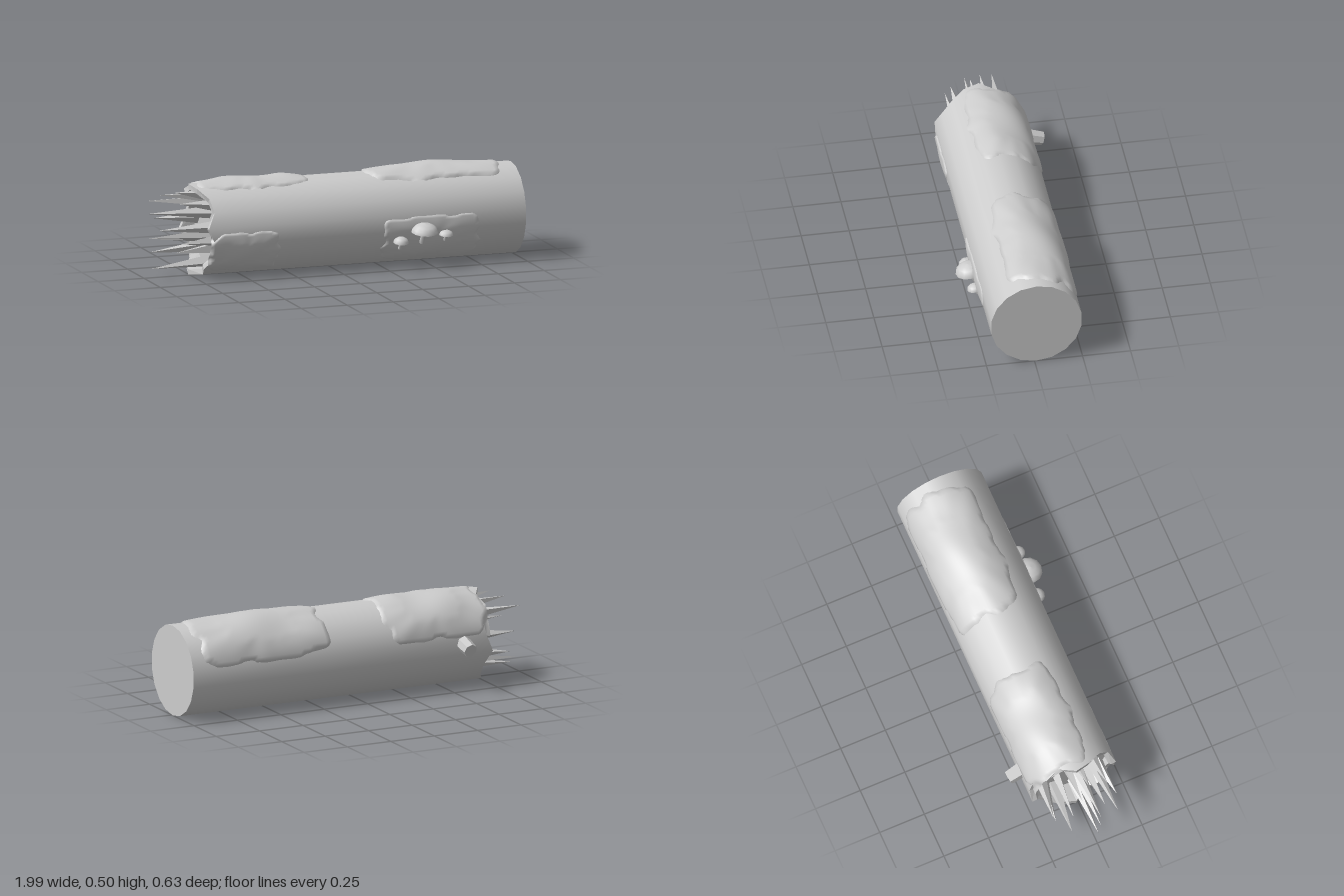
import * as THREE from 'three';
import { mergeVertices } from 'three/addons/utils/BufferGeometryUtils.js';

const R = 0.238, CY = 0.238, CZ = -0.01, SIDES = 18;

// Point on the log: x along it, angle p from the top towards the front, radius r
const onLog = (x, p, r) => [x, CY + r * Math.cos(p), CZ + r * Math.sin(p)];

// Surface from a grid of points fn(i, j)
function grid(nu, nv, fn, flat = false) {
  const pos = [], idx = [];
  for (let i = 0; i <= nu; i++) for (let j = 0; j <= nv; j++) pos.push(...fn(i, j));
  for (let i = 0; i < nu; i++) for (let j = 0; j < nv; j++) {
    const a = i * (nv + 1) + j, b = a + nv + 1;
    idx.push(a, a + 1, b, a + 1, b + 1, b);
  }
  let g = new THREE.BufferGeometry();
  g.setAttribute('position', new THREE.Float32BufferAttribute(pos, 3));
  g.setIndex(idx);
  g = mergeVertices(g, 1e-5);
  if (flat) g = g.toNonIndexed();
  g.computeVertexNormals();
  return g;
}

export function createModel() {
  const root = new THREE.Group();
  const grey = new THREE.MeshStandardMaterial({ color: 0xcccccc });
  grey.name = 'grey';
  const add = (geo, name, parent = root) => {
    const m = new THREE.Mesh(geo, grey);
    m.name = name;
    parent.add(m);
    return m;
  };

  // Ring sweep: each profile entry is [x, radius, follows the broken rim]
  const jag = [-0.04, -0.02, 0.02, 0.03, -0.01, 0.025, 0.035, -0.01, 0.01];
  const rings = (profile, flat) => grid(profile.length - 1, SIDES, (i, j) => {
    const [x, r, broken] = profile[i];
    return onLog(x + (broken ? jag[j % jag.length] : 0), (j % SIDES) / SIDES * Math.PI * 2, r);
  }, flat);
  add(rings([[-0.715, R, true], [-0.6, R], [0.2, R], [1, R]]), 'bark');
  add(rings([[1, R], [1, 0]], true), 'sawnEnd');
  add(rings([[-0.65, 0], [-0.65, 0.205], [-0.715, 0.21, true], [-0.715, R, true]], true), 'brokenEnd');

  // Splinters, by tip position
  const tips = [
    [-0.99, 0.34, 0.025], [-0.95, 0.38, -0.11], [-0.97, 0.27, 0.13], [-0.99, 0.21, 0.025],
    [-0.93, 0.11, -0.11], [-0.97, 0.05, 0.02], [-0.9, 0.42, -0.04], [-0.88, 0.27, -0.19],
    [-0.87, 0.14, 0.1], [-0.85, 0.4, 0.12], [-0.86, 0.16, -0.17], [-0.84, 0.44, 0.02],
    [-0.86, 0.2, 0.17],
  ];
  const splinters = new THREE.Group();
  splinters.name = 'splinters';
  root.add(splinters);
  const up = new THREE.Vector3(0, 1, 0);
  tips.forEach(([x, y, z], k) => {
    const tip = new THREE.Vector3(x, y, z);
    const base = new THREE.Vector3(-0.64, CY + (y - CY) * 0.87, CZ + (z - CZ) * 0.87);
    const dir = tip.clone().sub(base), len = dir.length();
    const g = new THREE.ConeGeometry(0.034, len, 4).toNonIndexed();
    g.rotateY(k * 0.9);
    g.computeVertexNormals();
    const m = add(g, 'splinter', splinters);
    m.quaternion.setFromUnitVectors(up, dir.normalize());
    m.position.copy(tip).add(base).multiplyScalar(0.5);
  });

  // Moss: lumpy sheets with wavy edges that sink into the bark
  function moss(name, x0, x1, p0, p1, thick, seed) {
    const nu = 40, nv = 28;
    add(grid(nu, nv, (i, j) => {
      const u = i / nu * 2 - 1, v = j / nv * 2 - 1;
      const a = Math.atan2(v, u);
      const edge = 0.95 + 0.035 * Math.sin(7 * a + seed) + 0.025 * Math.sin(13 * a + seed * 2);
      const d = edge - Math.pow(u ** 6 + v ** 6, 1 / 6);
      const lump = 0.75 + 0.15 * Math.sin(6 * u + seed) + 0.12 * Math.sin(5 * v + 4 * u + seed);
      const h = d > 0 ? thick * lump * (0.25 + 0.75 * Math.min(1, d / 0.45)) : Math.max(-0.02, d * 0.3);
      return onLog((x0 + x1) / 2 + u * (x1 - x0) / 2, (p0 + p1) / 2 + v * (p1 - p0) / 2, R + h);
    }), name);
  }
  moss('topMossRight', 0.19, 0.95, -1.4, 0.6, 0.031, 1.2);
  moss('topMossLeft', -0.72, -0.12, -1.4, 0.5, 0.024, 3.1);
  moss('frontMossRight', 0.22, 0.76, 1.4, 2.65, 0.012, 0.4);
  moss('frontMossLeft', -0.71, -0.33, 1.5, 2.6, 0.012, 2.2);

  // Branch stub on the back
  const stub = new THREE.CylinderGeometry(0.037, 0.044, 0.12, 7).toNonIndexed();
  stub.computeVertexNormals();
  const s = add(stub, 'branchStub');
  s.quaternion.setFromUnitVectors(up, new THREE.Vector3(-0.08, -0.32, -0.94).normalize());
  s.position.set(-0.56, 0.246, -0.25);

  // Mushrooms: [x, cap base y, z, cap radius, cap height]
  const list = [[0.44, 0.193, 0.245, 0.071, 0.045], [0.315, 0.143, 0.238, 0.04, 0.03], [0.56, 0.168, 0.238, 0.037, 0.024]];
  for (const [x, y, z, r, h] of list) {
    const g = new THREE.Group();
    g.name = 'mushroom';
    g.position.set(x, y, z);
    g.rotation.x = 0.2;
    root.add(g);
    const dome = [0, 1, 2, 3, 4].map(k => {
      const a = k / 4 * Math.PI / 2;
      return new THREE.Vector2(r * Math.cos(a), h * Math.sin(a));
    });
    add(new THREE.LatheGeometry(dome, 12), 'mushroomCap', g);
    const under = add(new THREE.CircleGeometry(r, 12), 'mushroomGills', g);
    under.rotation.x = Math.PI / 2;
    const stem = add(new THREE.CylinderGeometry(r * 0.18, r * 0.24, r * 1.1, 8), 'mushroomStem', g);
    stem.position.set(0, -r * 0.45, -r * 0.15);
    stem.rotation.x = 0.35;
  }
  return root;
}
